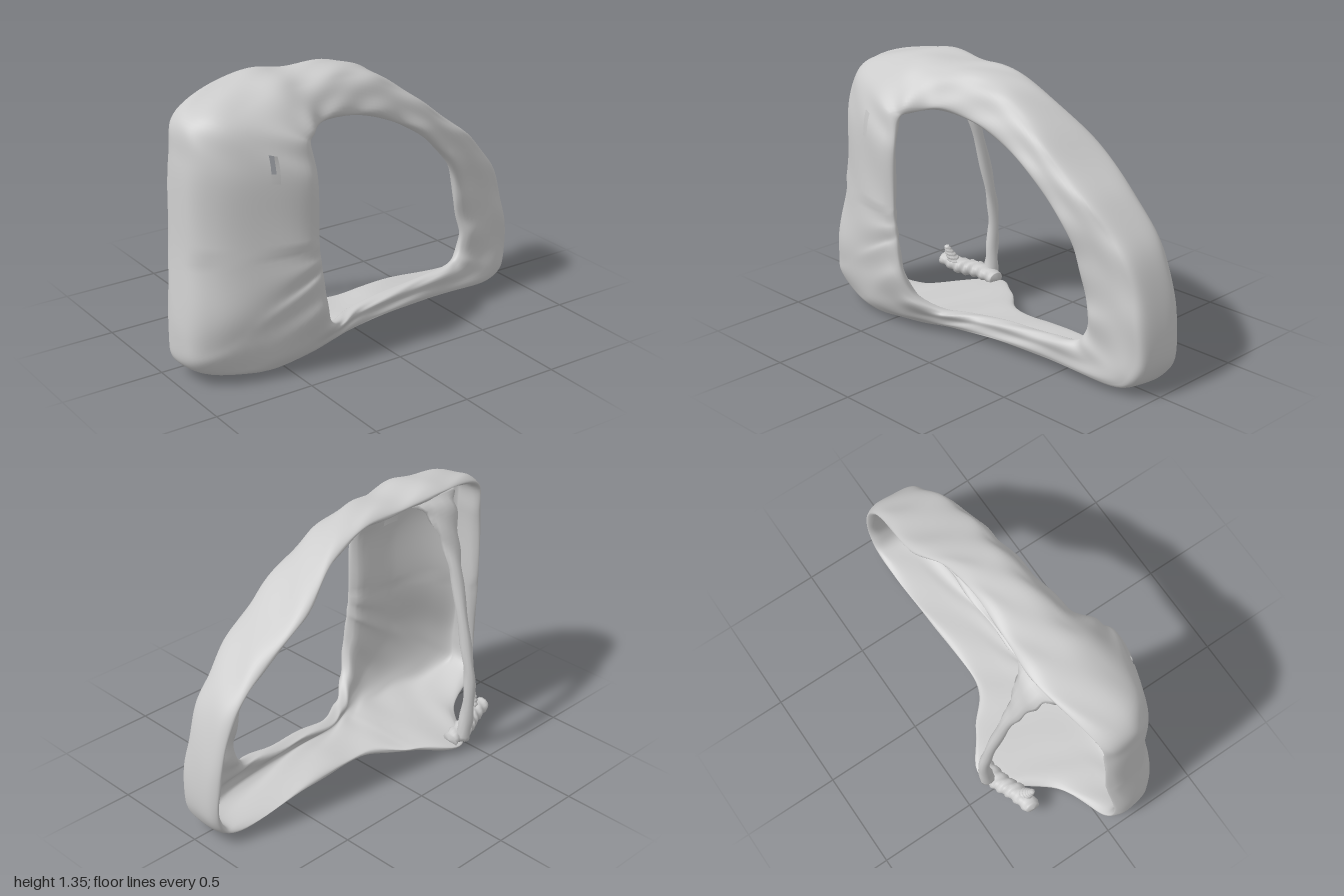
import * as THREE from 'three';

const material = new THREE.MeshStandardMaterial({ color: 0xcccccc, side: THREE.DoubleSide });

// Stations clockwise round the opening:
// [outer x, outer y, rear z, shoulder z, rim x, rim y, rim z]
const stations = [
  [-0.95, 0.65, 0.0, 0.2, -0.37, 0.65, 0.4],
  [-0.92, 1.05, -0.02, 0.19, -0.37, 0.95, 0.39],
  [-0.86, 1.25, -0.04, 0.15, -0.38, 1.09, 0.35],
  [-0.52, 1.345, -0.12, 0.1, -0.34, 1.12, 0.31],
  [-0.26, 1.335, -0.11, 0.09, -0.24, 1.14, 0.23],
  [0.0, 1.325, -0.1, 0.08, -0.04, 1.125, 0.2],
  [0.22, 1.23, -0.11, 0.09, 0.2, 1.04, 0.19],
  [0.45, 1.06, -0.17, 0.12, 0.42, 0.89, 0.19],
  [0.7, 0.87, -0.15, 0.11, 0.57, 0.7, 0.17],
  [0.88, 0.67, -0.14, 0.09, 0.62, 0.5, 0.14],
  [0.97, 0.4, -0.14, 0.09, 0.66, 0.34, 0.14],
  [0.98, 0.14, -0.13, 0.1, 0.63, 0.23, 0.14],
  [0.85, 0.035, -0.13, 0.12, 0.55, 0.19, 0.16],
  [0.42, 0.055, -0.12, 0.15, 0.3, 0.165, 0.17],
  [0.0, 0.045, -0.11, 0.18, 0.0, 0.14, 0.19],
  [-0.22, 0.04, -0.25, 0.23, -0.17, 0.14, 0.27],
  [-0.45, 0.025, -0.36, 0.28, -0.28, 0.21, 0.36],
  [-0.7, 0.015, -0.08, 0.29, -0.33, 0.35, 0.4],
  [-0.95, 0.08, 0.02, 0.25, -0.35, 0.48, 0.4],
  [-0.99, 0.25, 0.05, 0.25, -0.36, 0.55, 0.4],
];

const ring = (pick) =>
  new THREE.CatmullRomCurve3(stations.map((s) => new THREE.Vector3(...pick(s))), true, 'catmullrom');

// Dished shell swept round the opening, with a wide panel on the right
function makeFrame() {
  const outer = ring((s) => [s[0], s[1], s[2]]);
  const rim = ring((s) => [s[4], s[5], s[6]]);
  const shoulder = ring((s) => [s[3], 0, 0]);
  const N = 200, M = 72;
  const positions = [], index = [];
  for (let i = 0; i < N; i++) {
    const o = outer.getPoint(i / N), r = rim.getPoint(i / N), zs = shoulder.getPoint(i / N).x;
    const width = Math.hypot(o.x - r.x, o.y - r.y);
    const t = 0.045, k = Math.min(t / width, 0.4);
    // Section: x is the share of the way from rim to outer edge, y is z
    const section = new THREE.CatmullRomCurve3([
      [1 - k * 0.5, o.z - 0.01], [1, o.z + 0.03], [1, (o.z + zs) / 2], [0.96, zs - 0.01],
      [0.8, zs + (r.z - zs) * 0.35 + 0.01], [0.45, zs + (r.z - zs) * 0.8], [0.1, r.z],
      [0, r.z - 0.025], [0.06, r.z - t - 0.02], [0.42, zs + (r.z - zs) * 0.75 - t],
      [0.8 - k * 0.5, zs + (r.z - zs) * 0.3 - t], [1 - k, zs - t - 0.03],
      [1 - k, (o.z + zs) / 2], [1 - k, o.z + 0.02],
    ].map(([s, z]) => new THREE.Vector3(s, z, 0)), true);
    for (let j = 0; j < M; j++) {
      const p = section.getPoint(j / M);
      // Slight unevenness of the surface
      const bump = 0.005 * Math.sin(i * 0.55 + j * 0.3) * Math.sin(j * 0.26);
      positions.push(r.x + (o.x - r.x) * p.x, Math.max(0, r.y + (o.y - r.y) * p.x + bump), p.y + bump);
    }
  }
  const inHole = (a, b) => {
    const x = (positions[a * 3] + positions[b * 3]) / 2;
    const y = (positions[a * 3 + 1] + positions[b * 3 + 1]) / 2;
    return positions[a * 3 + 2] > 0.1 && Math.hypot((x + 0.58) / 0.033, (y - 1.03) / 0.06) < 1;
  };
  for (let i = 0; i < N; i++) {
    for (let j = 0; j < M; j++) {
      const i2 = (i + 1) % N, j2 = (j + 1) % M;
      const a = i * M + j, b = i * M + j2, c = i2 * M + j2, d = i2 * M + j;
      if (!inHole(a, c)) index.push(a, b, c, a, c, d);
    }
  }
  const g = new THREE.BufferGeometry();
  g.setAttribute('position', new THREE.Float32BufferAttribute(positions, 3));
  g.setIndex(index);
  g.computeVertexNormals();
  return g;
}

// Tapered rod: each point is [x, y, z, half width in x, half depth]
function makeRod(points, axis) {
  const path = new THREE.CatmullRomCurve3(points.map((p) => new THREE.Vector3(p[0], p[1], p[2])), false, 'catmullrom');
  const size = new THREE.CatmullRomCurve3(points.map((p) => new THREE.Vector3(p[3], p[4], 0)), false, 'catmullrom');
  const N = 48, M = 12, positions = [], index = [];
  for (let i = 0; i <= N; i++) {
    const c = path.getPoint(i / N), s = size.getPoint(i / N);
    const u = axis === 'y' ? new THREE.Vector3(1, 0, 0) : new THREE.Vector3(0, 0, 1);
    const v = new THREE.Vector3().crossVectors(path.getTangent(i / N), u).normalize();
    for (let j = 0; j < M; j++) {
      const a = (j / M) * Math.PI * 2;
      const wobble = 1 + 0.1 * Math.sin(i * 0.9 + j);
      const end = i === 0 || i === N ? 0.01 : wobble;
      const p = c.clone().addScaledVector(u, Math.cos(a) * s.x * end).addScaledVector(v, Math.sin(a) * s.y * end);
      positions.push(p.x, p.y, p.z);
    }
  }
  for (let i = 0; i < N; i++) {
    for (let j = 0; j < M; j++) {
      const a = i * M + j, b = i * M + ((j + 1) % M);
      index.push(a, b, b + M, a, b + M, a + M);
    }
  }
  const g = new THREE.BufferGeometry();
  g.setAttribute('position', new THREE.Float32BufferAttribute(positions, 3));
  g.setIndex(index);
  g.computeVertexNormals();
  return g;
}

export function createModel() {
  const model = new THREE.Group();
  const add = (name, geometry) => {
    const mesh = new THREE.Mesh(geometry, material);
    mesh.name = name;
    model.add(mesh);
  };
  add('frameAndPanel', makeFrame());

  // Slanting post behind the panel, flared at the top
  add('rearPost', makeRod([
    [-0.47, 1.31, -0.08, 0.15, 0.03], [-0.48, 1.23, -0.15, 0.09, 0.035], [-0.48, 1.08, -0.21, 0.05, 0.03],
    [-0.47, 0.9, -0.27, 0.03, 0.03], [-0.46, 0.6, -0.345, 0.025, 0.03], [-0.46, 0.4, -0.38, 0.025, 0.03],
    [-0.46, 0.2, -0.37, 0.03, 0.035], [-0.45, 0.05, -0.35, 0.04, 0.04],
  ], 'y'));

  // Stubby foot at the base of the post
  add('postFoot', makeRod([
    [-0.38, 0.07, -0.33, 0.04, 0.035], [-0.5, 0.09, -0.32, 0.05, 0.04],
    [-0.6, 0.1, -0.28, 0.05, 0.04], [-0.72, 0.12, -0.26, 0.04, 0.03],
  ], 'x'));
  add('footSpur', makeRod([
    [-0.6, 0.08, -0.28, 0.04, 0.04], [-0.64, 0.15, -0.25, 0.03, 0.025], [-0.66, 0.21, -0.23, 0.012, 0.012],
  ], 'y'));
  return model;
}
